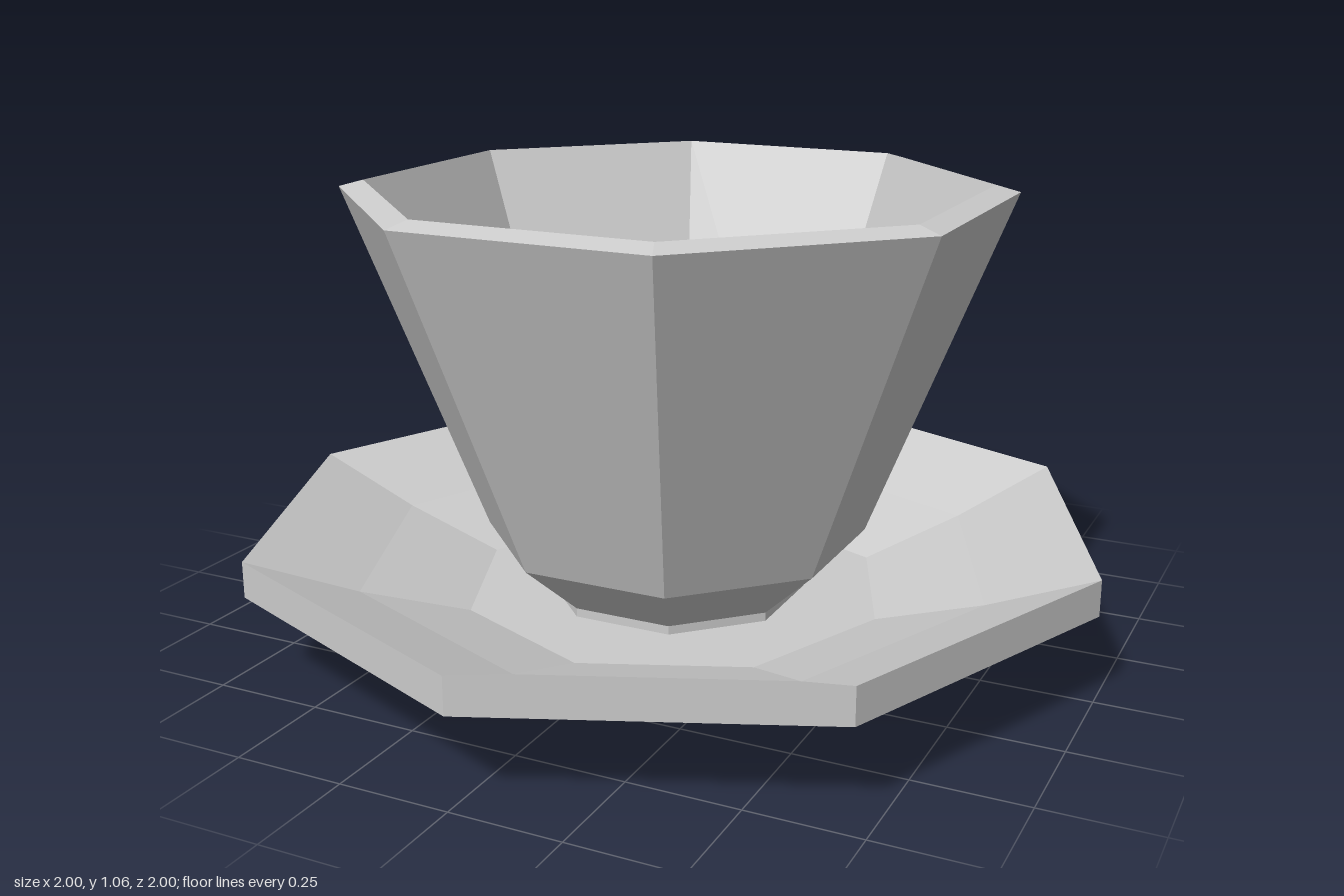
import * as THREE from 'three';

const material = new THREE.MeshStandardMaterial({ color: 0xcccccc, flatShading: true });
const SIDES = 8;

// Eight-sided turned solid; the profile runs from the bottom axis, up the outside and down the inside
function turned(name, profile, scale, phase) {
  const points = profile.map(([r, y]) => new THREE.Vector2(r * scale, y));
  const mesh = new THREE.Mesh(new THREE.LatheGeometry(points, SIDES, phase), material);
  mesh.name = name;
  return mesh;
}

// Closed loop handle: side outline with a hole, extruded across x and narrowed towards the back
function makeHandle() {
  const toPoints = (list) => list.map(([d, y]) => new THREE.Vector2(d, y));
  const shape = new THREE.Shape(toPoints([
    [0.44, 0.27], [0.62, 0.262], [0.72, 0.285], [0.86, 0.33], [0.925, 0.47],
    [0.91, 0.92], [0.81, 0.99], [0.68, 0.98], [0.64, 0.93], [0.43, 0.335],
  ]));
  shape.holes.push(new THREE.Path(toPoints([
    [0.47, 0.335], [0.69, 0.925], [0.77, 0.94], [0.87, 0.87],
    [0.885, 0.52], [0.81, 0.37], [0.635, 0.325],
  ])));
  const halfWidth = 0.067;
  const geometry = new THREE.ExtrudeGeometry(shape, { depth: 2 * halfWidth, bevelEnabled: false });
  geometry.translate(0, 0, -halfWidth).rotateY(Math.PI / 2);
  const pos = geometry.attributes.position;
  for (let i = 0; i < pos.count; i++) {
    const back = Math.max(0, -pos.getZ(i) - 0.8);
    pos.setX(i, pos.getX(i) * (1 - 1.1 * back));
  }
  geometry.computeVertexNormals();
  const mesh = new THREE.Mesh(geometry, material);
  mesh.name = 'handle';
  return mesh;
}

export function createModel() {
  const group = new THREE.Group();
  group.name = 'cupAndSaucer';

  // Saucer: corners on the axes, recessed foot ring underneath
  group.add(turned('saucer', [
    [0, 0.03], [0.44, 0.03], [0.44, 0], [0.55, 0], [0.55, 0.03], [0.82, 0.12],
    [1, 0.2], [1, 0.283], [0.75, 0.18], [0.5, 0.1], [0, 0.1],
  ], 1, 0));

  // Cup: flats on the axes, so the profile is given at the middle of the flats
  group.add(turned('cup', [
    [0, 0.1], [0.28, 0.1], [0.28, 0.12], [0.41, 0.245], [0.705, 1.045], [0.653, 1.06],
    [0.35, 0.26], [0.25, 0.17], [0.215, 0.15], [0, 0.15],
  ], 1 / Math.cos(Math.PI / SIDES), Math.PI / SIDES));

  group.add(makeHandle());
  return group;
}
